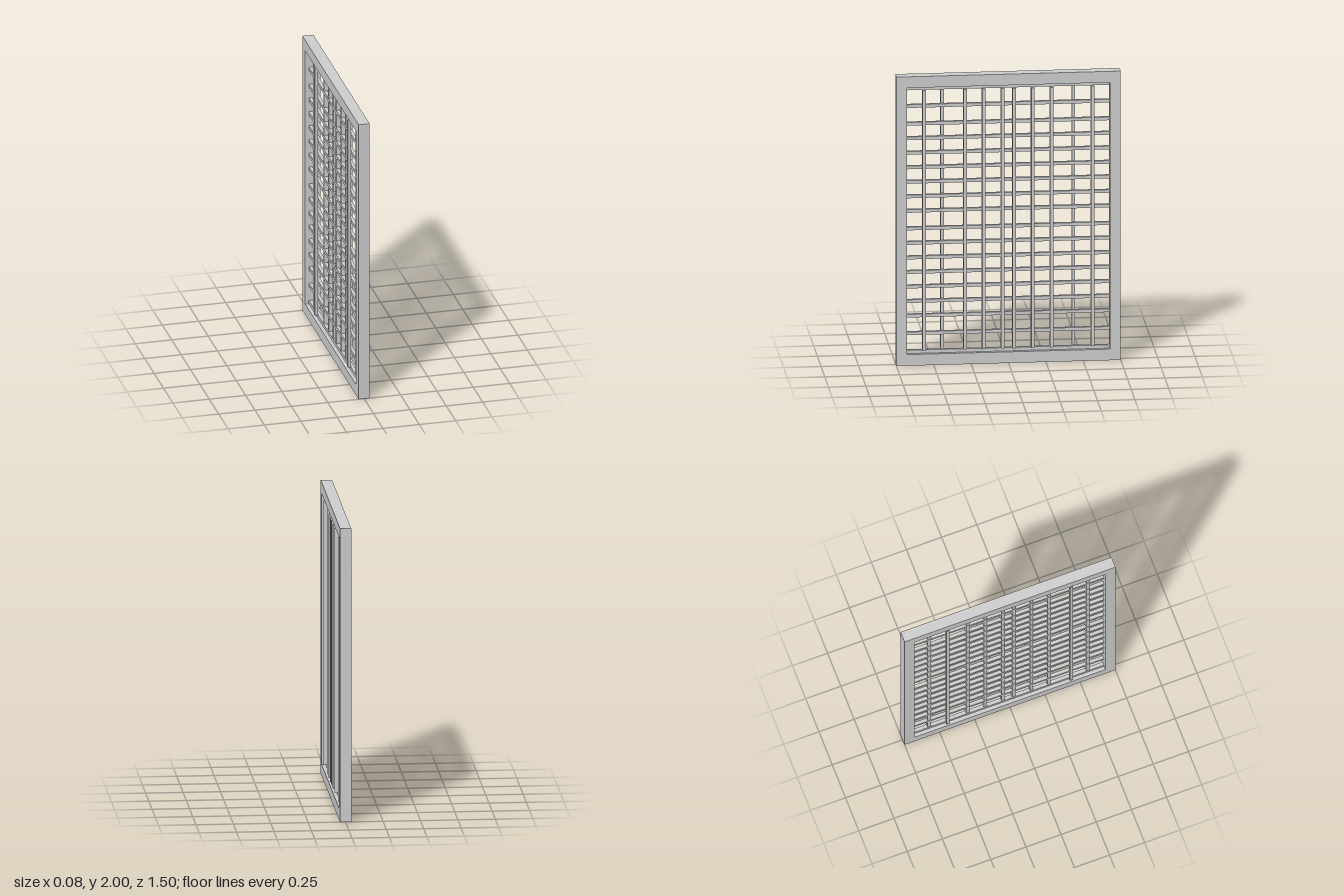
import * as THREE from 'three';

export function createModel() {
  const model = new THREE.Group();
  model.name = 'latticePanel';
  const material = new THREE.MeshStandardMaterial({ color: 0xcccccc, flatShading: true });

  // Box given by its extents on each axis
  function bar(name, [x0, x1], [y0, y1], [z0, z1]) {
    const mesh = new THREE.Mesh(new THREE.BoxGeometry(x1 - x0, y1 - y0, z1 - z0), material);
    mesh.position.set((x0 + x1) / 2, (y0 + y1) / 2, (z0 + z1) / 2);
    mesh.name = name;
    model.add(mesh);
  }

  // Outer frame: one rectangle with a rectangular opening
  const halfDepth = 0.0375, half = 0.011;
  const outline = new THREE.Shape([[-0.75, 0], [0.75, 0], [0.75, 2], [-0.75, 2]].map(p => new THREE.Vector2(...p)));
  outline.holes.push(new THREE.Path([[-0.678, 0.077], [-0.678, 1.923], [0.678, 1.923], [0.678, 0.077]].map(p => new THREE.Vector2(...p))));
  const frameGeometry = new THREE.ExtrudeGeometry(outline, { depth: 2 * halfDepth, bevelEnabled: false });
  frameGeometry.translate(0, 0, -halfDepth).rotateY(Math.PI / 2);
  const frame = new THREE.Mesh(frameGeometry, material);
  frame.name = 'frame';
  model.add(frame);

  // Thin rails against the top and bottom of the opening
  bar('bottomRail', [-0.0125, 0.0125], [0.077, 0.1], [-0.678, 0.678]);
  bar('topRail', [-0.0125, 0.0125], [1.9, 1.923], [-0.678, 0.678]);

  // Horizontal bars: two groups of seven evenly spaced, plus one at each end
  const heights = [0.215, 1.788];
  for (let i = 0; i < 7; i++) heights.push(0.337 + i * 0.1006, 1.062 + i * 0.1006);
  for (const y of heights) {
    bar('horizontalBar', [-0.012, 0.012], [y - half, y + half], [-0.678, 0.678]);
  }

  // Vertical bars, mirrored: deep ones on the right face, slim ones on the left face
  for (const side of [-1, 1]) {
    for (const z of [0.038, 0.164, 0.289, 0.564]) {
      bar('deepVerticalBar', [-0.01, 0.035], [0.1, 1.9], [side * z - half, side * z + half]);
    }
    bar('slimVerticalBar', [-0.035, -0.012], [0.1, 1.9], [side * 0.439 - half, side * 0.439 + half]);
  }
  return model;
}
